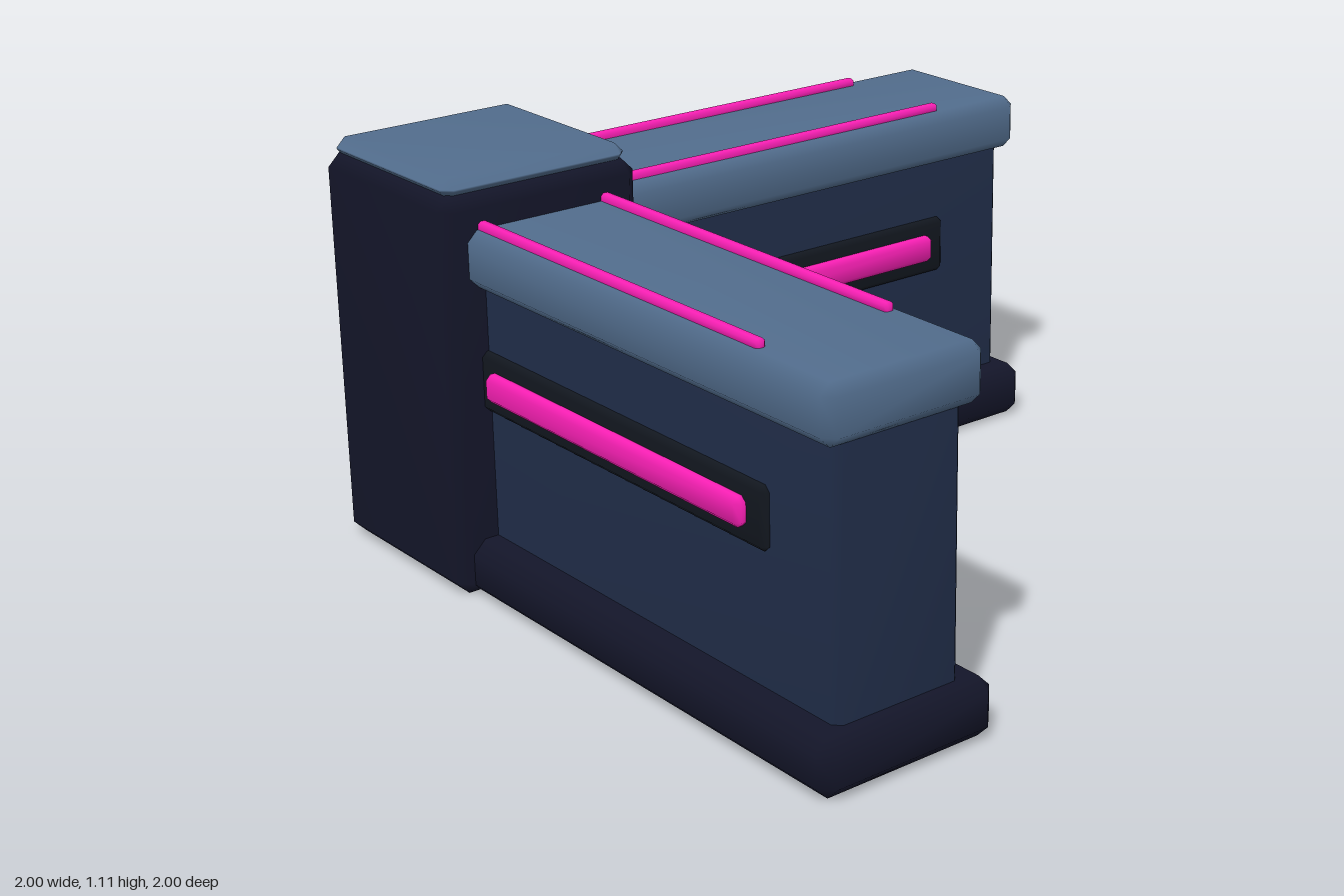
import * as THREE from 'three';
import { mergeVertices } from 'three/addons/utils/BufferGeometryUtils.js';
import { ConvexGeometry } from 'three/addons/geometries/ConvexGeometry.js';

const paint = (color) => new THREE.MeshStandardMaterial({ color });
const dark = paint(0x14162a);
const navy = paint(0x212e4a);
const steel = paint(0x526d8d);
const black = paint(0x12171f);
const pink = paint(0xf81fb4);

// Box with chamfered edges and softly blended normals, given by its ranges on each axis
function block(name, material, [x0, x1], [y0, y1], [z0, z1], bevel) {
  const half = [(x1 - x0) / 2, (y1 - y0) / 2, (z1 - z0) / 2];
  const points = [];
  for (const sx of [-1, 1]) for (const sy of [-1, 1]) for (const sz of [-1, 1]) {
    for (let axis = 0; axis < 3; axis++) {
      const [x, y, z] = half.map((h, i) => (i === axis ? h : h - bevel));
      points.push(new THREE.Vector3(sx * x, sy * y, sz * z));
    }
  }
  let geometry = new ConvexGeometry(points);
  geometry.deleteAttribute('normal');
  geometry = mergeVertices(geometry, 1e-5);
  geometry.computeVertexNormals();
  const mesh = new THREE.Mesh(geometry, material);
  mesh.name = name;
  mesh.position.set((x0 + x1) / 2, (y0 + y1) / 2, (z0 + z1) / 2);
  return mesh;
}

// One wall running along +x from the centre of the corner pillar
function wall(name) {
  const g = new THREE.Group();
  g.name = name;
  g.add(
    block('wallBase', dark, [0.1, 1.705], [0, 0.155], [-0.26, 0.26], 0.035),
    block('wallBody', navy, [0.1, 1.655], [0.13, 0.86], [-0.185, 0.185], 0.02),
    block('wallCap', steel, [0.1, 1.685], [0.83, 0.98], [-0.23, 0.23], 0.028),
  );
  for (const s of [-1, 1]) {
    const zs = (a, b) => (s > 0 ? [a, b] : [-b, -a]);
    g.add(
      block('lightPanel', black, [0.22, 1.425], [0.5, 0.66], zs(0.16, 0.205), 0.014),
      block('sideLight', pink, [0.335, 1.365], [0.545, 0.62], zs(0.18, 0.232), 0.014),
      block('topLight', pink, [0.22, 1.405], [0.97, 1.0], zs(0.17, 0.198), 0.007),
    );
  }
  return g;
}

export function createModel() {
  const model = new THREE.Group();
  model.name = 'cornerBarrier';

  // Corner pillar with its cap
  const corner = new THREE.Group();
  corner.name = 'corner';
  corner.position.set(-0.705, 0, 0.705);
  corner.add(
    block('pillar', dark, [-0.295, 0.295], [0, 1.07], [-0.295, 0.295], 0.036),
    block('pillarCap', steel, [-0.273, 0.273], [1.055, 1.11], [-0.273, 0.273], 0.025),
  );

  // Two matching walls at a right angle
  const rightAngleWall = wall('sideWall');
  rightAngleWall.rotation.y = Math.PI / 2;
  corner.add(wall('frontWall'), rightAngleWall);

  model.add(corner);
  return model;
}
